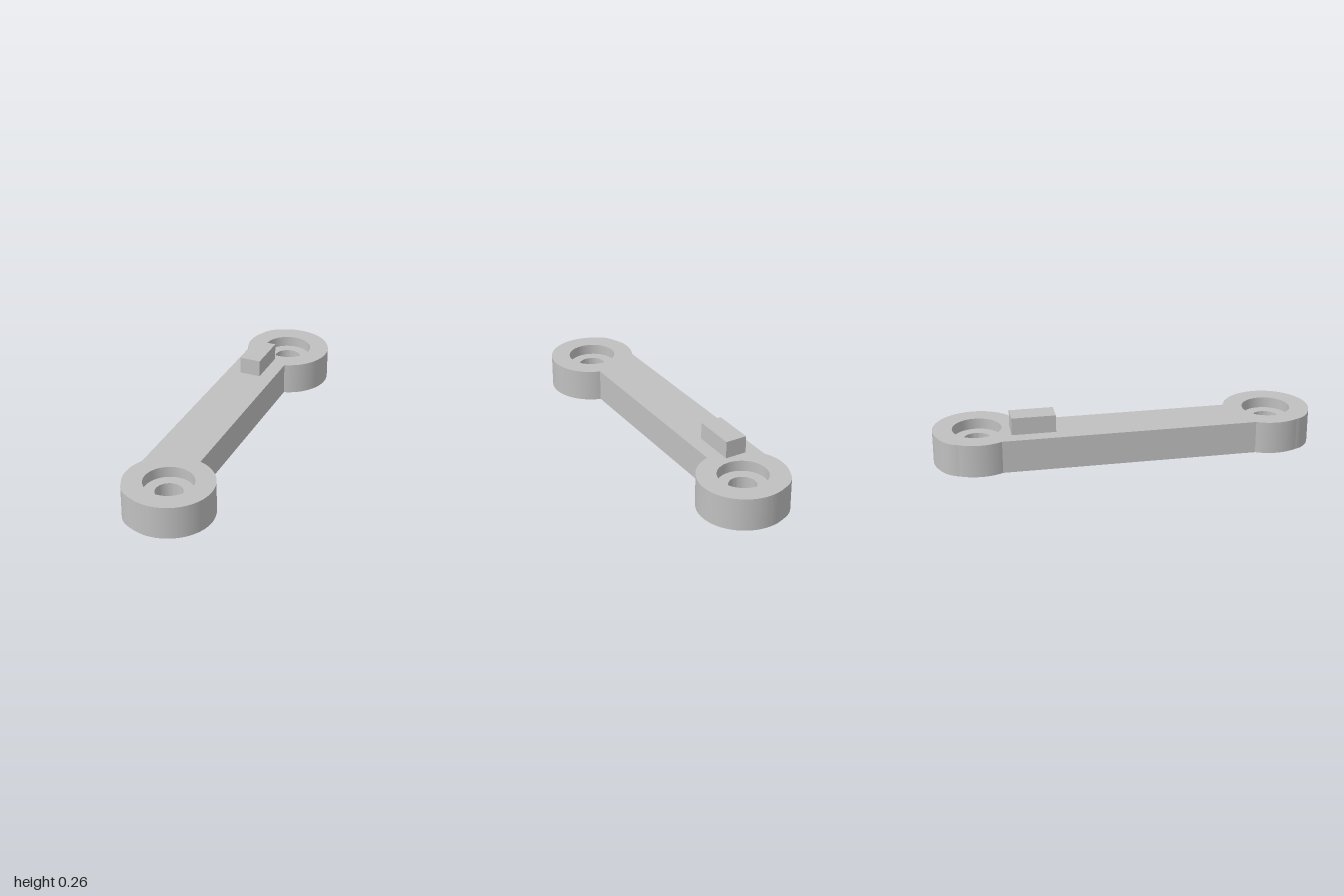
import * as THREE from 'three';
import { toCreasedNormals } from 'three/addons/utils/BufferGeometryUtils.js';

const HEIGHT = 0.172, LEDGE = 0.115;
const EYE_Z = 0.772, EYE_R = 0.228, HOLE_R = 0.07, BORE_R = 0.127;
const BAR_LEFT = -0.2, BAR_RIGHT = 0.065;
const SEGMENTS = 32;

// Plan outline: a bar offset to one side, joining two round eyes
function outline() {
  const reach = (x) => Math.sqrt(EYE_R * EYE_R - x * x);
  const angle = (x, sign) => Math.atan2(sign * reach(x), x);
  const r = reach(BAR_RIGHT), l = reach(BAR_LEFT), c = reach(-0.1);
  const s = new THREE.Shape();
  s.moveTo(BAR_RIGHT, -EYE_Z + r);
  s.lineTo(BAR_RIGHT, EYE_Z - r);
  s.absarc(0, EYE_Z, EYE_R, angle(BAR_RIGHT, -1), angle(-0.1, 1), false);
  s.quadraticCurveTo(-0.178, EYE_Z + 0.177, BAR_LEFT, EYE_Z + l);
  s.absarc(0, EYE_Z, EYE_R, angle(BAR_LEFT, 1), angle(BAR_LEFT, -1), false);
  s.lineTo(BAR_LEFT, -EYE_Z + l);
  s.absarc(0, -EYE_Z, EYE_R, angle(BAR_LEFT, 1), angle(BAR_LEFT, -1), false);
  s.quadraticCurveTo(-0.178, -EYE_Z - 0.177, -0.1, -EYE_Z - c);
  s.absarc(0, -EYE_Z, EYE_R, angle(-0.1, -1), angle(BAR_RIGHT, 1), false);
  return s;
}

// Flat face of the link with one hole in each eye
function cap(holeRadius) {
  const s = outline();
  for (const side of [-1, 1]) {
    s.holes.push(new THREE.Path().absarc(0, side * EYE_Z, holeRadius, 0, Math.PI * 2, true));
  }
  return new THREE.ShapeGeometry(s, SEGMENTS);
}

// Upright wall following the outline
function wall() {
  const pts = outline().getPoints(SEGMENTS);
  const pos = [];
  pts.forEach((a, i) => {
    const b = pts[(i + 1) % pts.length];
    if (a.distanceTo(b) < 1e-5) return;
    const a0 = [a.x, 0, -a.y], b0 = [b.x, 0, -b.y];
    const a1 = [a.x, HEIGHT, -a.y], b1 = [b.x, HEIGHT, -b.y];
    pos.push(...a0, ...b0, ...b1, ...a0, ...b1, ...a1);
  });
  const g = new THREE.BufferGeometry();
  g.setAttribute('position', new THREE.Float32BufferAttribute(pos, 3));
  return toCreasedNormals(g, 0.45);
}

export function createModel() {
  const group = new THREE.Group();
  group.name = 'linkArm';
  const grey = new THREE.MeshStandardMaterial({ color: 0xc0c0c0 });
  grey.name = 'grey';

  const add = (name, geometry, x = 0, y = 0, z = 0) => {
    const mesh = new THREE.Mesh(geometry, grey);
    mesh.name = name;
    mesh.position.set(x, y, z);
    group.add(mesh);
  };

  // Link body
  add('topFace', cap(BORE_R).rotateX(-Math.PI / 2), 0, HEIGHT, 0);
  add('bottomFace', cap(HOLE_R).rotateX(Math.PI / 2));
  add('sideWall', wall());

  // Stepped bores, profile drawn downward so the faces look inward
  const profile = [[BORE_R, HEIGHT], [BORE_R, LEDGE], [HOLE_R, LEDGE], [HOLE_R, 0]]
    .map(([x, y]) => new THREE.Vector2(x, y));
  const bore = toCreasedNormals(new THREE.LatheGeometry(profile, SEGMENTS * 2), 0.6);
  add('frontBore', bore, 0, 0, EYE_Z);
  add('backBore', bore, 0, 0, -EYE_Z);

  // Raised stop block near the back eye
  add('stopBlock', new THREE.BoxGeometry(0.115, 0.091, 0.228), -0.0695, HEIGHT + 0.0455, -0.491);

  return group;
}
